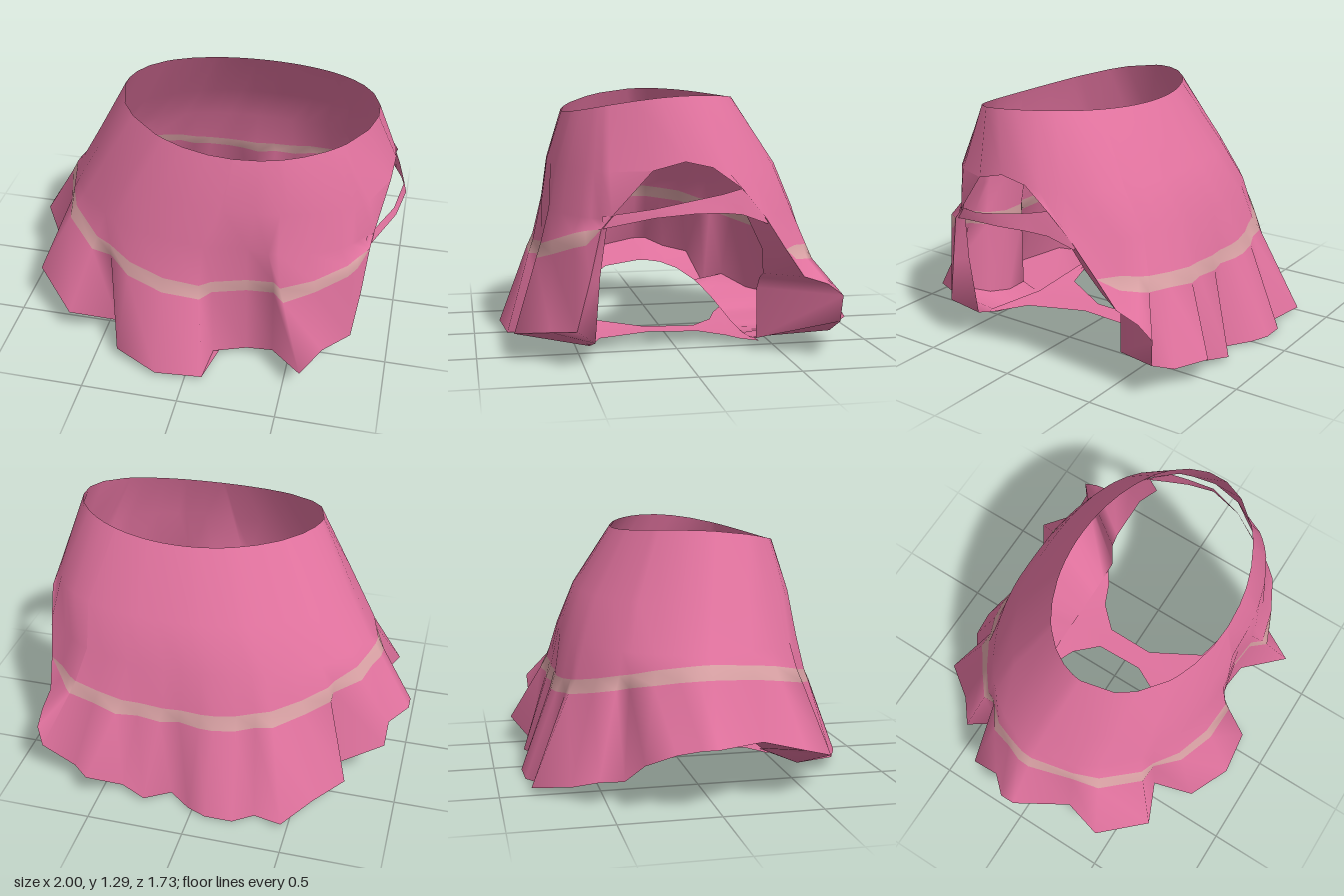
import * as THREE from 'three';

const pink = new THREE.MeshStandardMaterial({ color: 0xe2739f, side: THREE.DoubleSide });
pink.name = 'pink cloth';
const trim = new THREE.MeshStandardMaterial({ color: 0xdaa2a5, side: THREE.DoubleSide });
trim.name = 'pale trim';

// Pleated hem, counter-clockwise from the right side through the front: x, z, y.
// It rises into an arch over the open left side.
const HEM = [
  [-1, -.02, .33], [-.84, .24, .31], [-.89, .44, .27], [-.67, .65, .17], [-.44, .55, .07],
  [-.38, .76, .07], [-.15, .86, .04], [.09, .83, .03], [.11, .64, .04], [.28, .6, .06],
  [.42, .62, .09], [.59, .82, .15], [.68, .65, .17], [.81, .54, .2], [.84, .48, .45],
  [.86, .43, .69], [.87, .38, .75], [.92, .2, .96], [.93, .05, 1], [.92, -.08, .97],
  [.93, -.22, .87], [.9, -.34, .73], [.87, -.45, .57], [.85, -.55, .43], [.85, -.67, .39],
  [.85, -.75, .33], [.84, -.74, .2], [.66, -.75, .11], [.55, -.87, .15], [.39, -.77, .05],
  [.26, -.82, .03], [.14, -.72, .01], [.02, -.82, .02], [-.08, -.86, .02], [-.22, -.85, .01],
  [-.32, -.78, .01], [-.47, -.84, .04], [-.6, -.66, .07], [-.74, -.54, .13], [-.63, -.4, .09],
  [-.91, -.35, .25], [-.91, -.2, .29], [-1, -.1, .33],
].map(([x, z, y]) => new THREE.Vector3(x, y, z));

// Point on an oval in the direction of a hem point; n and m square off its +x and -x halves
function oval(hem, cx, cz, rx, rz, n, m = 2) {
  const dx = hem.x - .1, dz = hem.z;
  const e = dx > 0 ? n : m;
  const k = Math.pow(Math.pow(Math.abs(dx) / rx, e) + Math.pow(Math.abs(dz) / rz, e), -1 / e);
  return new THREE.Vector3(cx + dx * k, 0, cz + dz * k);
}

// Pull a wall point in where the hem is tucked, otherwise flare it slightly
function pleat(p, h, flare) {
  const tucked = Math.hypot(h.x - .1, h.z) < Math.hypot(p.x - .1, p.z);
  return p.lerp(h, tucked ? .85 : flare);
}

// Smooth surface through rows of points; materialOf(row) chooses the colour
function surface(name, rows, closed, materialOf = () => 0, skip = () => false) {
  const n = rows[0].length, index = [];
  const geo = new THREE.BufferGeometry().setFromPoints(rows.flat());
  for (let r = 0; r < rows.length - 1; r++) {
    const start = index.length;
    for (let c = 0; c < (closed ? n : n - 1); c++) {
      const d = (c + 1) % n;
      if (skip(c, d)) continue;
      const q = [[r, c], [r + 1, c], [r + 1, d], [r, d]];
      for (const tri of [[0, 1, 2], [0, 2, 3]]) {
        const p = tri.map(i => rows[q[i][0]][q[i][1]]);
        if (new THREE.Triangle(...p).getArea() > 1e-7) {
          index.push(...tri.map(i => q[i][0] * n + q[i][1]));
        }
      }
    }
    geo.addGroup(start, index.length - start, materialOf(r));
  }
  geo.setIndex(index);
  geo.computeVertexNormals();
  const mesh = new THREE.Mesh(geo, [pink, trim]);
  mesh.name = name;
  return mesh;
}

// Skirt wall: waist, hip, seat, both edges of the trim, hem
function makeSkirt() {
  const rows = [[], [], [], [], [], []];
  for (const h of HEM) {
    const waist = oval(h, .185, .11, .645, .43, 2);
    waist.y = 1.235 - .08 * (waist.z - .11) + .055 * ((waist.x - .185) / .645) ** 2;
    const hip = oval(h, .145, .045, .785, .57, 2.5);
    hip.y = .95;
    const band = pleat(oval(h, .05, .01, .825, .66, 4), h, .1);
    const rise = h.z < 0 && band.x > 0 ? .07 : .18;
    band.y = .515 + rise * ((band.x - .02) / .83) ** 2;
    const seat = pleat(oval(h, .065, .01, .825, .63, 3), h, 0);
    seat.y = Math.max(.73, band.y + .04);
    const low = band.clone().lerp(h, .17);
    low.y = band.y - .068;
    [waist, hip, seat, band, low, h].forEach((p, i) => rows[i].push(p.y > h.y + .02 ? p : h));
  }
  return surface('skirt', rows, true, r => (r === 3 ? 1 : 0));
}

// Underside between the hem and the leg openings, missing below the arch
function makeUnderside() {
  const inner = HEM.map(h => {
    const p = oval(h, .17, .03, h.x > .1 ? .69 : .76, .42, 8, 2.6);
    const dx = (p.x - .17) / .72;
    p.y = dx > 0 ? .03 + .2 * dx ** 3 : .03 + .21 * dx * dx;
    if (h.x > .8 && h.y > .3) p.y = h.y;
    return p;
  });
  const open = c => HEM[c].x > .8 && HEM[c].y > .76;
  return surface('underside', [HEM, inner], true, () => 0, (c, d) => open(c) || open(d));
}

// Narrow bridge between the two leg openings
function makeBridge() {
  const half = [[.4, -.41], [.3, -.34], [.18, -.29], [.065, -.17], [.06, .1], [.21, .38], [.44, .44], [.44, .47]];
  const rows = half.map(([w, z]) => [-w, 0, w].map(x =>
    new THREE.Vector3(.17 + x, .03 + .03 * z + .2 * x * x, z)));
  return surface('bridge', rows, false);
}

// Thin strap bowing across the open side: z, x, bottom, top
function makeStrap() {
  const cuts = [[.42, .85, .69, .745], [.2, .965, .75, .79], [.02, 1, .77, .83],
    [-.12, .965, .765, .85], [-.22, .93, .75, .87], [-.35, .9, .7, .73]];
  const edge = (k, inset) => cuts.map(c => new THREE.Vector3(c[1] - inset, c[k], c[0]));
  return surface('sideStrap', [edge(3, .015), edge(2, 0)], false);
}

export function createModel() {
  const group = new THREE.Group();
  group.name = 'pleatedSkirt';
  group.add(makeSkirt(), makeUnderside(), makeBridge(), makeStrap());
  return group;
}
